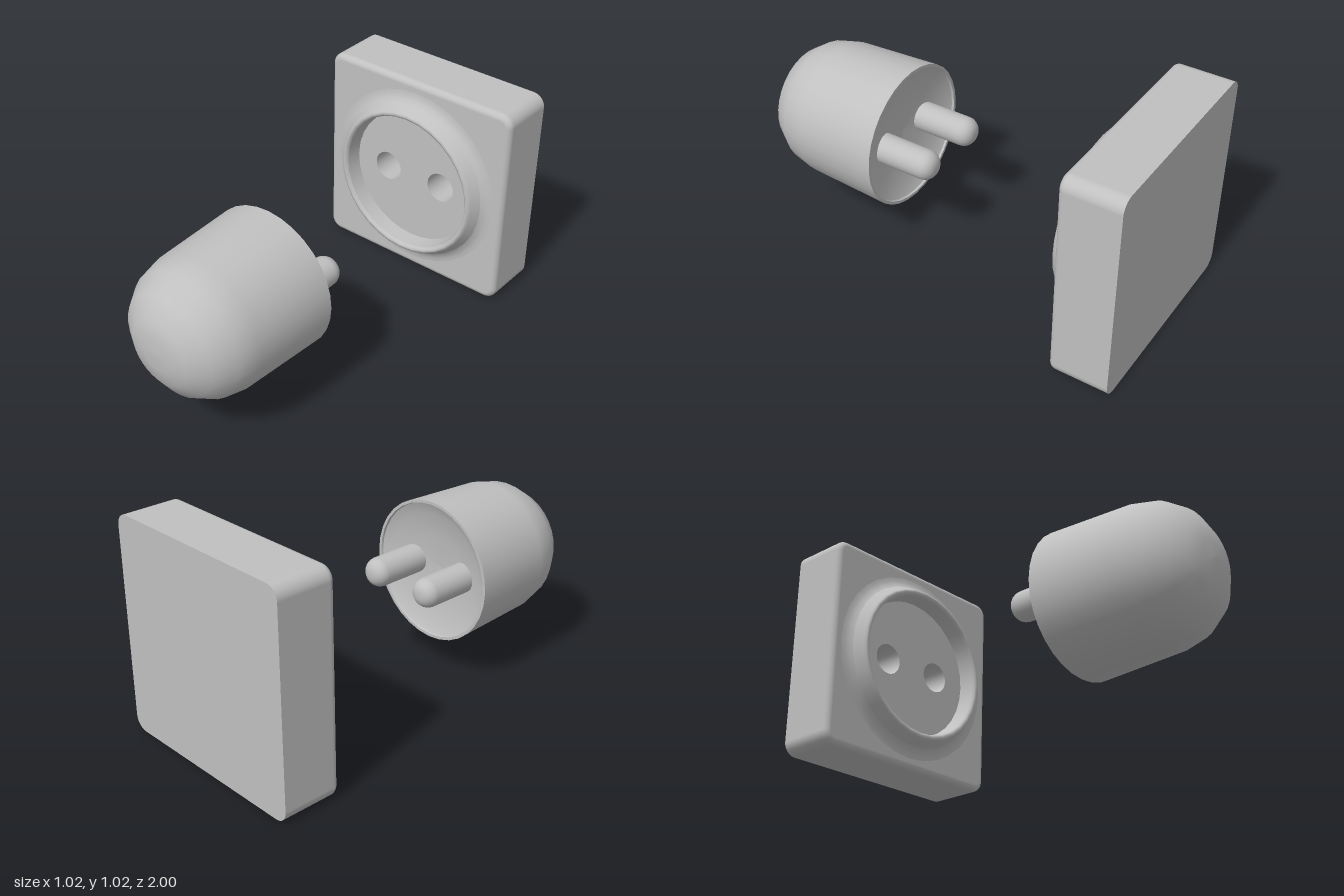
import * as THREE from 'three';

const grey = new THREE.MeshStandardMaterial({ color: 0xc0c0c0 });
grey.name = 'plain grey';

const CY = 0.51;      // height of the common axis
const SEG = 32;
const PIN_X = 0.155;

function add(group, name, geometry, x = 0, y = 0, z = 0) {
  const mesh = new THREE.Mesh(geometry, grey);
  mesh.name = name;
  mesh.position.set(x, y, z);
  group.add(mesh);
  return mesh;
}

// Turned surface about the z axis; points are [radius, z]
function turned(points, segments = SEG) {
  const g = new THREE.LatheGeometry(points.map(([r, z]) => new THREE.Vector2(r, z)), segments);
  return g.rotateX(Math.PI / 2);
}

// Several turned surfaces with sharp edges between them
function turnedPart(group, name, sections, x = 0, segments = SEG) {
  const part = new THREE.Group();
  part.name = name;
  part.position.x = x;
  sections.forEach((s, i) => add(part, name + 'Surface' + (i + 1), turned(s, segments)));
  group.add(part);
}

// Outline of the wall plate: corner centre plus direction for each point
function plateOutline() {
  const out = [], c = 0.45, steps = 8;
  [[1, 1], [-1, 1], [-1, -1], [1, -1]].forEach(([sx, sy], k) => {
    for (let i = 0; i <= steps; i++) {
      const a = (k + i / steps) * Math.PI / 2;
      out.push({ cx: sx * c, cy: sy * c, nx: Math.cos(a), ny: Math.sin(a) });
    }
  });
  return out;
}

const outlineShape = (outline, r) => new THREE.Shape(
  outline.map(p => new THREE.Vector2(p.cx + p.nx * r, p.cy + p.ny * r)));

function circleHole(shape, r, x = 0) {
  const hole = new THREE.Path();
  hole.absarc(x, 0, r, 0, Math.PI * 2, true);
  shape.holes.push(hole);
}

// Side wall of the plate with a rounded front edge
function plateSides(outline, r, bevel, back, front) {
  const rows = [[back, 0]];
  for (let i = 0; i <= 6; i++) rows.push([front - bevel, i / 6 * Math.PI / 2]);
  const pos = [], nor = [], idx = [], n = outline.length;
  rows.forEach(([z, phi], j) => {
    const c = Math.cos(phi), s = Math.sin(phi), rad = r - bevel + bevel * c;
    outline.forEach((p, i) => {
      pos.push(p.cx + p.nx * rad, p.cy + p.ny * rad, z + bevel * s);
      nor.push(p.nx * c, p.ny * c, s);
      if (j === 0) return;
      const a = (j - 1) * n + i, b = (j - 1) * n + (i + 1) % n;
      idx.push(a, b, b + n, a, b + n, a + n);
    });
  });
  const g = new THREE.BufferGeometry();
  g.setAttribute('position', new THREE.Float32BufferAttribute(pos, 3));
  g.setAttribute('normal', new THREE.Float32BufferAttribute(nor, 3));
  g.setIndex(idx);
  return g;
}

function createSocket() {
  const socket = new THREE.Group();
  socket.name = 'wallSocket';
  const outline = plateOutline();
  const back = -1, front = -0.72, floor = -0.73;

  // Square wall plate
  add(socket, 'plateSides', plateSides(outline, 0.06, 0.03, back, front));
  add(socket, 'plateBack', new THREE.ShapeGeometry(outlineShape(outline, 0.06)).rotateY(Math.PI), 0, 0, back);
  const face = outlineShape(outline, 0.03);
  circleHole(face, 0.46);
  add(socket, 'plateFront', new THREE.ShapeGeometry(face, SEG / 2), 0, 0, front);

  // Raised collar: fillet, sloped wall with rounded lip, inner wall
  turnedPart(socket, 'collar', [
    [[0.46, front], [0.44, -0.718], [0.42, -0.71], [0.406, -0.698]],
    [[0.406, -0.698], [0.38, -0.655], [0.374, -0.643], [0.364, -0.64], [0.354, -0.644], [0.349, -0.655]],
    [[0.349, -0.655], [0.34, floor]],
  ]);

  // Recess floor with two pin holes
  const disc = new THREE.Shape();
  disc.absarc(0, 0, 0.341, 0, Math.PI * 2, false);
  for (const s of [-1, 1]) circleHole(disc, 0.074, s * PIN_X);
  add(socket, 'recessFloor', new THREE.ShapeGeometry(disc, SEG / 2), 0, 0, floor);
  for (const s of [-1, 1]) {
    turnedPart(socket, s > 0 ? 'leftPinHole' : 'rightPinHole', [
      [[0.074, floor], [0.074, -0.96]],
      [[0.074, -0.96], [0, -0.96]],
    ], s * PIN_X);
  }
  return socket;
}

function createPlug() {
  const plug = new THREE.Group();
  plug.name = 'plug';

  // Domed body with a thin rim around a shallow dished back
  turnedPart(plug, 'plugBody', [
    [[0, 0.38], [0.15, 0.372], [0.27, 0.35], [0.325, 0.325]],
    [[0.325, 0.325], [0.328, 0.315]],
    [[0.328, 0.315], [0.342, 0.315]],
    [[0.342, 0.315], [0.324, 0.73], [0.3, 0.835], [0.24, 0.925], [0.152, 0.982], [0.075, 0.997], [0, 1]],
  ]);

  // Two round-ended pins
  const pin = [[0, 0.08]];
  for (let i = 0; i <= 6; i++) {
    const a = i / 6 * Math.PI / 2;
    pin.push([0.012 + 0.058 * Math.sin(a), 0.138 - 0.058 * Math.cos(a)]);
  }
  pin.push([0.07, 0.39]);
  for (const s of [-1, 1]) {
    add(plug, s > 0 ? 'leftPin' : 'rightPin', turned(pin, 24), s * PIN_X);
  }
  return plug;
}

export function createModel() {
  const model = new THREE.Group();
  model.name = 'plugAndSocket';
  for (const part of [createSocket(), createPlug()]) {
    part.position.y = CY;
    model.add(part);
  }
  return model;
}
